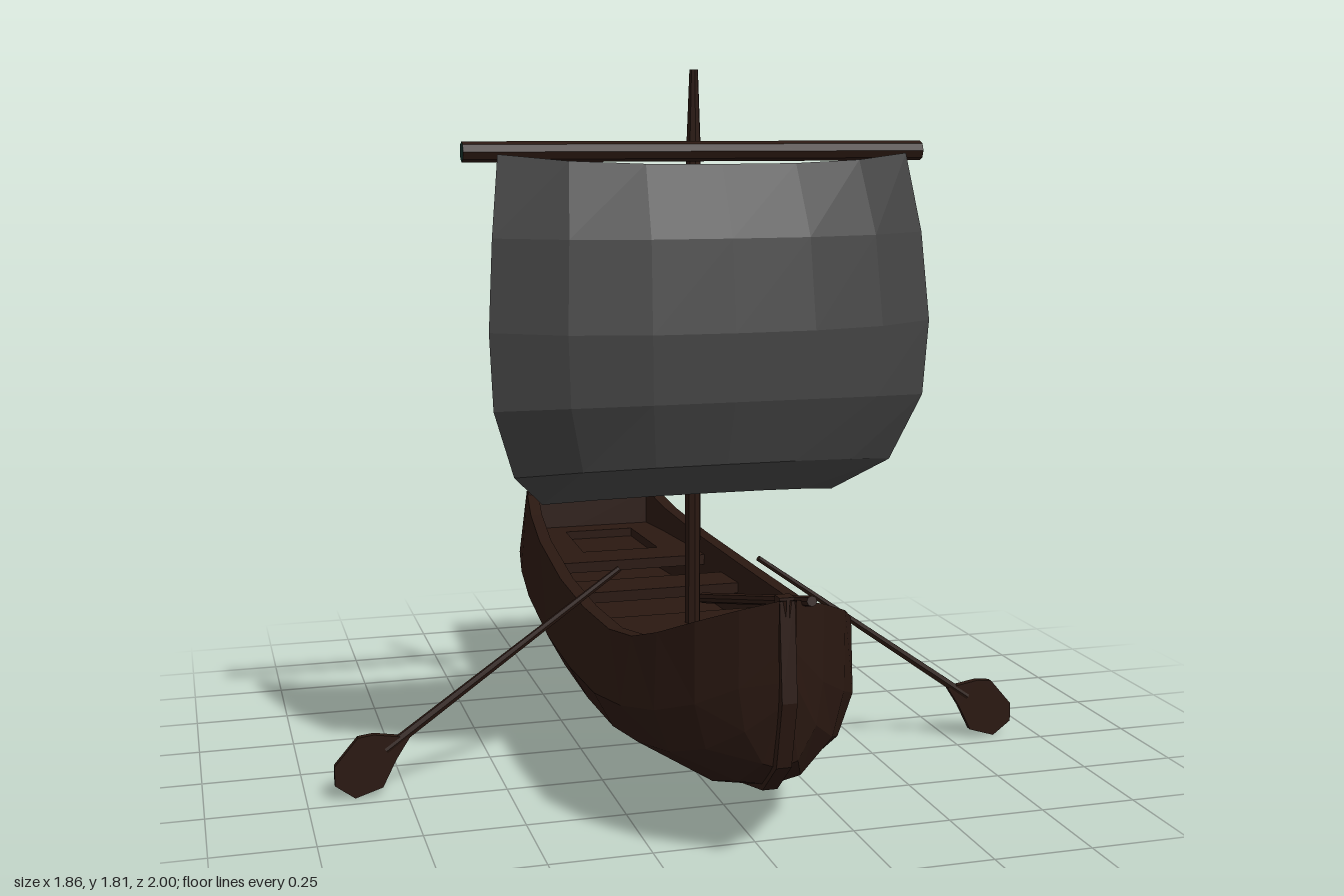
import * as THREE from 'three';

const mat = (color) => new THREE.MeshStandardMaterial({ color, flatShading: true, side: THREE.DoubleSide });

// Hull stations: z, widest half-width, keel height, rail height
const STATIONS = [
  [-0.9, 0.235, 0.14, 0.54], [-0.75, 0.262, 0.138, 0.5], [-0.5, 0.29, 0.136, 0.475],
  [-0.1, 0.318, 0.135, 0.46], [0.2, 0.325, 0.135, 0.46], [0.45, 0.318, 0.137, 0.468],
  [0.6, 0.29, 0.14, 0.49], [0.74, 0.245, 0.15, 0.535], [0.85, 0.18, 0.185, 0.585],
  [0.925, 0.1, 0.25, 0.625], [0.965, 0.02, 0.4, 0.65],
];
const RAIL = 0.035;
const railHalf = (z, w) => w * THREE.MathUtils.lerp(0.88, 1, THREE.MathUtils.smoothstep(z, 0.5, 0.85));

// Half-width of the cockpit at a given z
function innerHalf(z) {
  let i = 0;
  while (i < STATIONS.length - 2 && STATIONS[i + 1][0] < z) i++;
  const [a, b] = [STATIONS[i], STATIONS[i + 1]];
  const w = THREE.MathUtils.mapLinear(z, a[0], b[0], a[1], b[1]);
  return Math.max(0.01, railHalf(z, w) - RAIL);
}

// Outer half-section from keel to rail
function halfSection([z, w, keel, sheer]) {
  const y = (f) => keel + f * (sheer - keel);
  return [[0, y(0)], [0.42 * w, y(0.04)], [0.85 * w, y(0.25)], [w, y(0.52)], [railHalf(z, w), y(1)]];
}
const mirrorHalf = (half) => [...half, ...half.slice(1).reverse().map(([x, y]) => [-x, y])];

// Skin a grid of points; closed joins the last column to the first
function loft(rows, closed) {
  const n = rows[0].length, cols = closed ? n : n - 1, index = [];
  for (let i = 0; i < rows.length - 1; i++) {
    for (let j = 0; j < cols; j++) {
      const a = i * n + j, b = i * n + (j + 1) % n;
      index.push(a, b, b + n, a, b + n, a + n);
    }
  }
  const g = new THREE.BufferGeometry();
  g.setAttribute('position', new THREE.Float32BufferAttribute(rows.flat(2), 3));
  g.setIndex(index);
  g.computeVertexNormals();
  return g;
}

const polygon = (pts) => new THREE.Shape(pts.map(([x, y]) => new THREE.Vector2(x, y)));
const slab = (shape, depth) => new THREE.ExtrudeGeometry(shape, { depth, bevelEnabled: false });

// Upright plate in the z-y plane, centred on x = 0
const sidePlate = (pts, t) => slab(polygon(pts), t).translate(0, 0, -t / 2).rotateY(-Math.PI / 2);

// Horizontal board fitted between the hull sides, with an optional recess
function board(z0, z1, top, thick, recess) {
  const half = [];
  for (let k = 0; k <= 8; k++) {
    const z = THREE.MathUtils.lerp(z0, z1, k / 8);
    half.push([innerHalf(z) + 0.006, -z]);
  }
  const shape = polygon([...half, ...[...half].reverse().map(([x, y]) => [-x, y])]);
  if (recess) shape.holes.push(new THREE.Path(recess.map(([x, z]) => new THREE.Vector2(x, -z))));
  return slab(shape, thick).rotateX(-Math.PI / 2).translate(0, top - thick, 0);
}

// Tapered round pole between two points
function pole(a, b, ra, rb, sides = 8) {
  const from = new THREE.Vector3(...a), dir = new THREE.Vector3(...b).sub(from);
  const g = new THREE.CylinderGeometry(rb, ra, dir.length(), sides);
  g.applyQuaternion(new THREE.Quaternion().setFromUnitVectors(new THREE.Vector3(0, 1, 0), dir.clone().normalize()));
  const c = from.addScaledVector(dir, 0.5);
  return g.translate(c.x, c.y, c.z);
}

export function createModel() {
  const boat = new THREE.Group();
  boat.name = 'sailingBoat';
  const wood = mat(0x2a1811), cloth = mat(0x444444), capPaint = mat(0x15302a);
  const add = (name, geometry, material = wood, parent = boat) => {
    const m = new THREE.Mesh(geometry, material);
    m.name = name;
    parent.add(m);
    return m;
  };

  // Hull shell with rail, inner walls and floor
  add('hull', loft(STATIONS.map((s) => {
    const [z, w, keel, sheer] = s;
    const inner = Math.max(0.004, railHalf(z, w) - RAIL);
    const floor = Math.max(0.3, keel + 0.1);
    const ring = mirrorHalf([...halfSection(s), [inner, sheer], [inner * 0.98, floor], [0, floor]]);
    ring.splice(8, 0); 
    const half = [...halfSection(s), [inner, sheer], [inner * 0.98, floor]];
    const loop = [...half, [0, floor], ...half.slice(1).reverse().map(([x, y]) => [-x, y])];
    const rake = z < -0.89 ? 0.075 : 0;
    return loop.map(([x, y]) => [x, y, z - rake * (y - keel)]);
  }), true));

  // Raked transom closing the stern
  const transom = slab(polygon(mirrorHalf(halfSection(STATIONS[0]))), 0.03);
  const p = transom.attributes.position;
  for (let i = 0; i < p.count; i++) p.setZ(i, p.getZ(i) - 0.901 - 0.075 * (p.getY(i) - 0.14));
  add('transom', transom);

  // Stem, keel fin and rudder
  add('stem', sidePlate([[0.925, 0.655], [0.96, 0.655], [0.985, 0.42], [0.95, 0.26], [0.855, 0.175], [0.7, 0.138],
    [0.7, 0.17], [0.83, 0.21], [0.9, 0.29], [0.935, 0.42]], 0.036));
  add('keelFin', sidePlate([[-0.5, 0.14], [-0.5, 0.134], [-0.905, 0.13], [-0.905, 0.2]], 0.02));
  add('rudder', sidePlate([[-0.937, 0.425], [-0.965, 0.425], [-1, 0.13], [-0.917, 0.13]], 0.018));

  // Decks with recessed hatches, and the rowing benches
  add('sternDeck', board(-0.9, -0.41, 0.425, 0.03,
    [[-0.105, -0.82], [0.105, -0.82], [0.115, -0.54], [-0.115, -0.54]]));
  add('sternHatch', new THREE.BoxGeometry(0.26, 0.01, 0.32).translate(0, 0.395, -0.68));
  add('bowDeck', board(0.48, 0.93, 0.445, 0.03,
    [[-0.13, 0.6], [0.13, 0.6], [0.095, 0.75], [-0.095, 0.75]]));
  add('bowHatch', new THREE.BoxGeometry(0.28, 0.01, 0.18).translate(0, 0.415, 0.675));
  for (const [z0, z1] of [[-0.27, -0.135], [0.13, 0.32]]) add('bench', board(z0, z1, 0.405, 0.03));

  // Mast, yard and bowsprit
  add('mast', pole([0, 0.3, 0.225], [0, 1.62, 0.225], 0.021, 0.019));
  add('mastTop', pole([0, 1.62, 0.225], [0, 1.82, 0.225], 0.019, 0.011));
  add('yard', pole([-0.592, 1.62, 0.27], [0.592, 1.62, 0.27], 0.025, 0.025), [wood, capPaint, capPaint]);
  add('bowsprit', pole([0.045, 0.452, 0.17], [0.045, 0.653, 0.995], 0.014, 0.012));

  // Billowing sail. Rows: half-width, edge height, edge z, middle height, middle z
  const sailRows = [
    [0.52, 1.615, 0.35, 1.592, 0.47], [0.545, 1.42, 0.4, 1.42, 0.555], [0.56, 1.2, 0.425, 1.2, 0.587],
    [0.55, 1.01, 0.415, 1.035, 0.58], [0.49, 0.835, 0.35, 0.875, 0.52], [0.39, 0.733, 0.2, 0.775, 0.37],
  ];
  const belly = [[-1, 0], [-0.7, 0.65], [-0.36, 0.95], [0, 1], [0.36, 0.95], [0.7, 0.65], [1, 0]];
  add('sail', loft(sailRows.map(([w, ye, ze, ym, zm]) => belly.map(([u, b]) =>
    [u * w, THREE.MathUtils.lerp(ye, ym, b), THREE.MathUtils.lerp(ze, zm, b)])).reverse()), cloth);

  // Oars on both sides
  for (const s of [1, -1]) {
    const oar = new THREE.Group();
    oar.name = s > 0 ? 'leftOar' : 'rightOar';
    const z = s > 0 ? 0.192 : 0.202;
    add('shaft', pole([s * 0.19, 0.555, z], [s * 0.8, 0.125, z], 0.008, 0.013, 6), wood, oar);
    const blade = [[0.74, 0.155], [0.83, 0.17], [0.87, 0.165], [0.93, 0.095], [0.93, 0.045], [0.88, 0.008], [0.81, 0.03], [0.775, 0.1]];
    add('blade', slab(polygon(blade.map(([x, y]) => [s * x, y])), 0.018).translate(0, 0, z - 0.009), wood, oar);
    boat.add(oar);
  }
  return boat;
}
